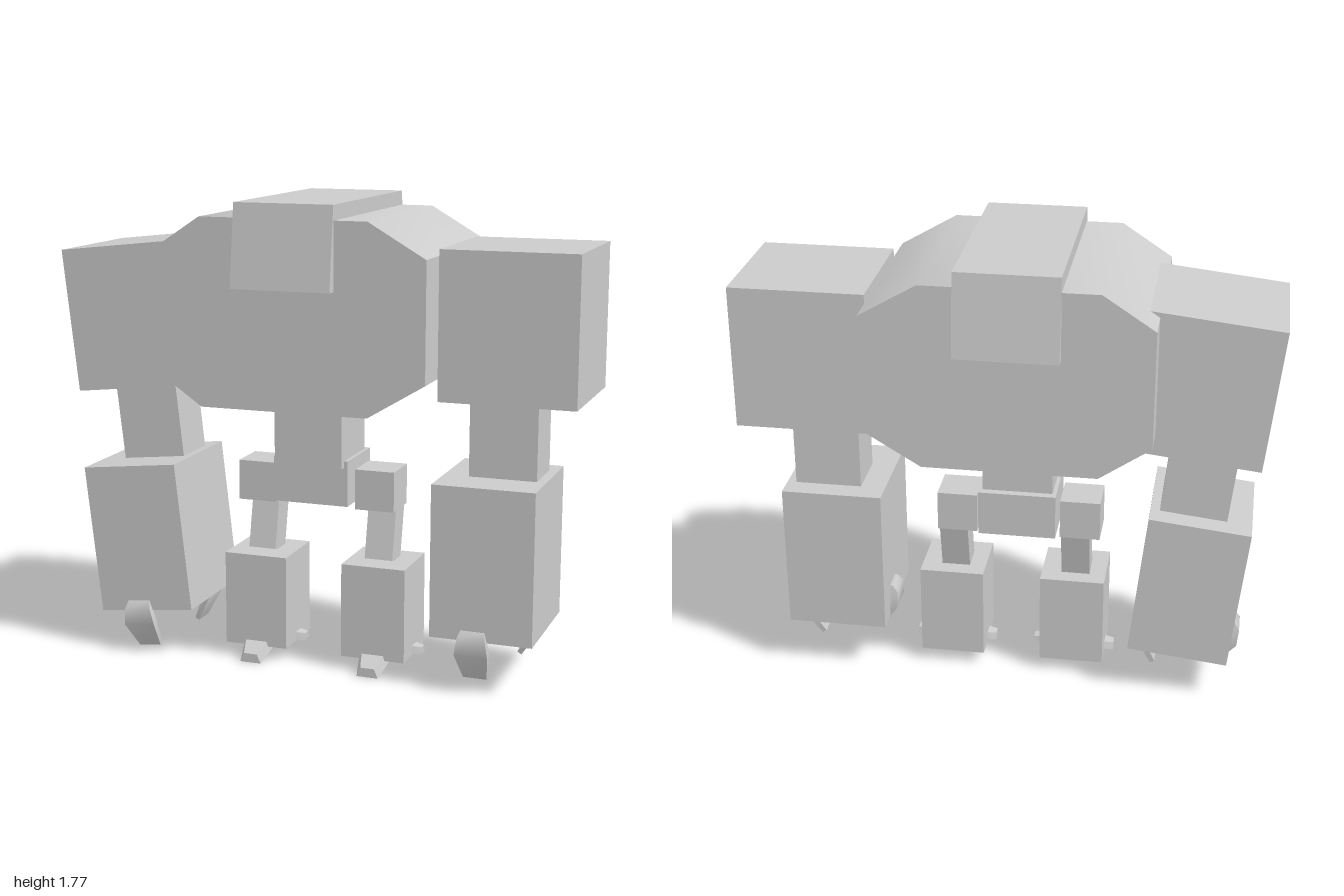
import * as THREE from 'three';
import { toCreasedNormals } from 'three/addons/utils/BufferGeometryUtils.js';

const material = new THREE.MeshStandardMaterial({ color: 0xcccccc });

function add(parent, name, geometry) {
  const mesh = new THREE.Mesh(geometry, material);
  mesh.name = name;
  parent.add(mesh);
  return mesh;
}

// Box given by its limits on each axis
function box(parent, name, [x0, x1], [y0, y1], [z0, z1]) {
  const mesh = add(parent, name, new THREE.BoxGeometry(x1 - x0, y1 - y0, z1 - z0));
  mesh.position.set((x0 + x1) / 2, (y0 + y1) / 2, (z0 + z1) / 2);
  return mesh;
}

// Closed solid through four-cornered cross-sections
function loft(rows) {
  const positions = [];
  const quad = (a, b, c, d) => positions.push(...a, ...b, ...c, ...a, ...c, ...d);
  for (let i = 0; i + 1 < rows.length; i++) {
    for (let j = 0; j < 4; j++) {
      const k = (j + 1) % 4;
      quad(rows[i][j], rows[i][k], rows[i + 1][k], rows[i + 1][j]);
    }
  }
  quad(...[...rows[0]].reverse());
  quad(...rows[rows.length - 1]);
  const geometry = new THREE.BufferGeometry();
  geometry.setAttribute('position', new THREE.Float32BufferAttribute(positions, 3));
  geometry.computeVertexNormals();
  return toCreasedNormals(geometry, 0.75);
}

// Hooked claw, bulging towards +z; each row: half width, inner z, outer z, inner y, outer y
function clawGeometry() {
  return loft([
    [0.045, -0.012, 0.0, 0.0, 0.0],
    [0.053, -0.008, 0.02, -0.03, -0.025],
    [0.063, -0.008, 0.02, -0.08, -0.09],
    [0.045, -0.066, -0.05, -0.185, -0.195],
  ].map(([w, zi, zo, yi, yo]) => [[-w, yi, zi], [w, yi, zi], [w, yo, zo], [-w, yo, zo]]));
}

// Short tapering toe pointing along +z
function toeGeometry(w, length, drop) {
  return loft([
    [w, 0, 0.8 * w, 0.04, -0.02],
    [0.7 * w, -drop, 0.45 * w, 0.035 - drop, length],
  ].map(([wl, lo, wh, hi, z]) => [[-wl, lo, z], [wl, lo, z], [wh, hi, z], [-wh, hi, z]]));
}

function extrude(points, depth) {
  const shape = new THREE.Shape(points.map(([x, y]) => new THREE.Vector2(x, y)));
  const geometry = new THREE.ExtrudeGeometry(shape, { depth, bevelEnabled: false });
  geometry.translate(0, 0, -depth / 2);
  return toCreasedNormals(geometry, 0.75);
}

function createArm(name) {
  const arm = new THREE.Group();
  arm.name = name;
  box(arm, 'shoulder', [0.495, 1], [1.075, 1.62], [-0.25, 0.25]);
  box(arm, 'upperArm', [0.575, 0.83], [0.775, 1.075], [-0.1, 0.1]);
  box(arm, 'forearm', [0.48, 0.865], [0.2, 0.775], [-0.185, 0.265]);
  for (const [claw, x, y, z, turn] of [
    ['frontClaw', 0.643, 0.238, 0.267, 0],
    ['innerClaw', 0.47, 0.328, -0.03, -Math.PI / 2],
    ['outerClaw', 0.818, 0.278, -0.03, Math.PI / 2],
  ]) {
    const mesh = add(arm, claw, clawGeometry());
    mesh.position.set(x, y, z);
    mesh.rotation.y = turn;
  }
  return arm;
}

function createLeg(name) {
  const leg = new THREE.Group();
  leg.name = name;
  box(leg, 'hipJoint', [-0.077, 0.077], [0.605, 0.76], [-0.08, 0.08]);
  // Thigh leans forward towards the shin
  const thigh = box(leg, 'thigh', [-0.055, 0.055], [0.405, 0.625], [-0.035, 0.065]);
  thigh.rotation.x = -0.22;
  box(leg, 'shin', [-0.125, 0.125], [0.05, 0.413], [-0.08, 0.175]);
  const toe = add(leg, 'frontToe', toeGeometry(0.06, 0.06, 0.04));
  toe.position.set(0, 0.04, 0.175);
  for (const side of [-1, 1]) {
    const sideToe = add(leg, 'sideToe', toeGeometry(0.038, 0.035, 0.005));
    sideToe.scale.y = 0.75;
    sideToe.position.set(side * 0.125, 0.058, 0.045);
    sideToe.rotation.y = side * Math.PI / 2;
  }
  return leg;
}

export function createModel() {
  const model = new THREE.Group();
  model.name = 'robot';

  // Eight-sided torso
  const torso = add(model, 'torso', extrude([
    [-0.365, 1.025], [0.275, 1.025], [0.49, 1.155], [0.49, 1.595],
    [0.275, 1.72], [-0.365, 1.72], [-0.555, 1.595], [-0.555, 1.155],
  ], 0.775));
  torso.position.z = -0.002;

  // Head plate lying over the torso, with a flap on each end
  const plate = add(model, 'headPlate', extrude([
    [-0.43, 1.47], [-0.38, 1.47], [-0.38, 1.7], [0.38, 1.7],
    [0.38, 1.47], [0.43, 1.47], [0.39, 1.775], [-0.39, 1.775],
  ], 0.378));
  plate.rotation.y = Math.PI / 2;
  plate.position.x = -0.038;

  box(model, 'waist', [-0.168, 0.1], [0.775, 1.03], [-0.1, 0.16]);
  box(model, 'pelvis', [-0.183, 0.113], [0.625, 0.8], [-0.13, 0.13]);

  for (const side of [-1, 1]) {
    const leg = createLeg(side < 0 ? 'rightLeg' : 'leftLeg');
    leg.position.x = side < 0 ? -0.245 : 0.23;
    // Hip joints sit closer to the pelvis than the shin centres
    leg.getObjectByName('hipJoint').position.x = -0.027;
    leg.getObjectByName('thigh').position.x = -0.007;
    if (side < 0) leg.scale.x = 1;
    model.add(leg);
  }

  // The right arm repeats the left one, swung inwards
  model.add(createArm('leftArm'));
  const rightArm = createArm('rightArm');
  rightArm.rotation.z = 0.11;
  rightArm.position.set(-1.315, -0.1, 0);
  model.add(rightArm);
  return model;
}
